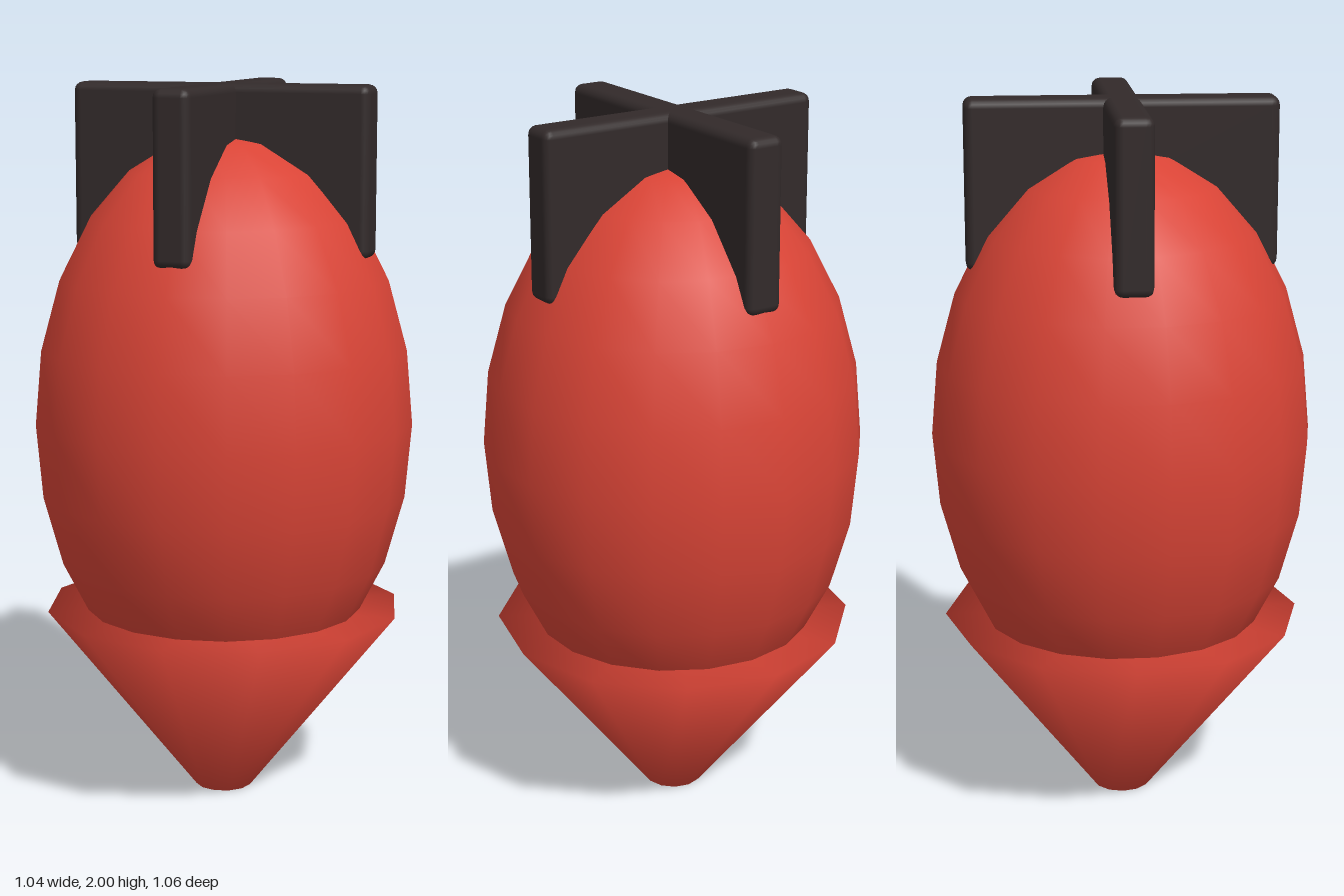
import * as THREE from 'three';
import { mergeVertices } from 'three/addons/utils/BufferGeometryUtils.js';
import { RoundedBoxGeometry } from 'three/addons/geometries/RoundedBoxGeometry.js';

const red = new THREE.MeshStandardMaterial({ color: 0xd94436 });
const dark = new THREE.MeshStandardMaterial({ color: 0x322a2a });

function addPart(group, name, geometry, material, y) {
  const mesh = new THREE.Mesh(geometry, material);
  mesh.name = name;
  mesh.position.y = y;
  group.add(mesh);
  return mesh;
}

export function createModel() {
  const group = new THREE.Group();
  group.name = 'bomb';

  // Egg-shaped body: a stretched sphere with a vertex row on the z axis
  const body = new THREE.SphereGeometry(1, 18, 12);
  body.rotateY(Math.PI / 2);
  body.scale(0.528, 0.797, 0.528);
  addPart(group, 'body', body, red, 1.07);

  // Blunt nose cone, capped, with shading blended across the rim
  let nose = new THREE.CylinderGeometry(0.502, 0.08, 0.535, 12);
  nose.deleteAttribute('normal');
  nose.deleteAttribute('uv');
  nose = mergeVertices(nose);
  nose.computeVertexNormals();
  addPart(group, 'noseCone', nose, red, 0.2675);

  // Two crossed plates with softened edges form the four tail fins
  ['sideFins', 'frontBackFins'].forEach((name, i) => {
    const fin = new RoundedBoxGeometry(0.85, 0.465, 0.105, 2, 0.024);
    addPart(group, name, fin, dark, 1.7675).rotation.y = i * Math.PI / 2;
  });

  return group;
}
